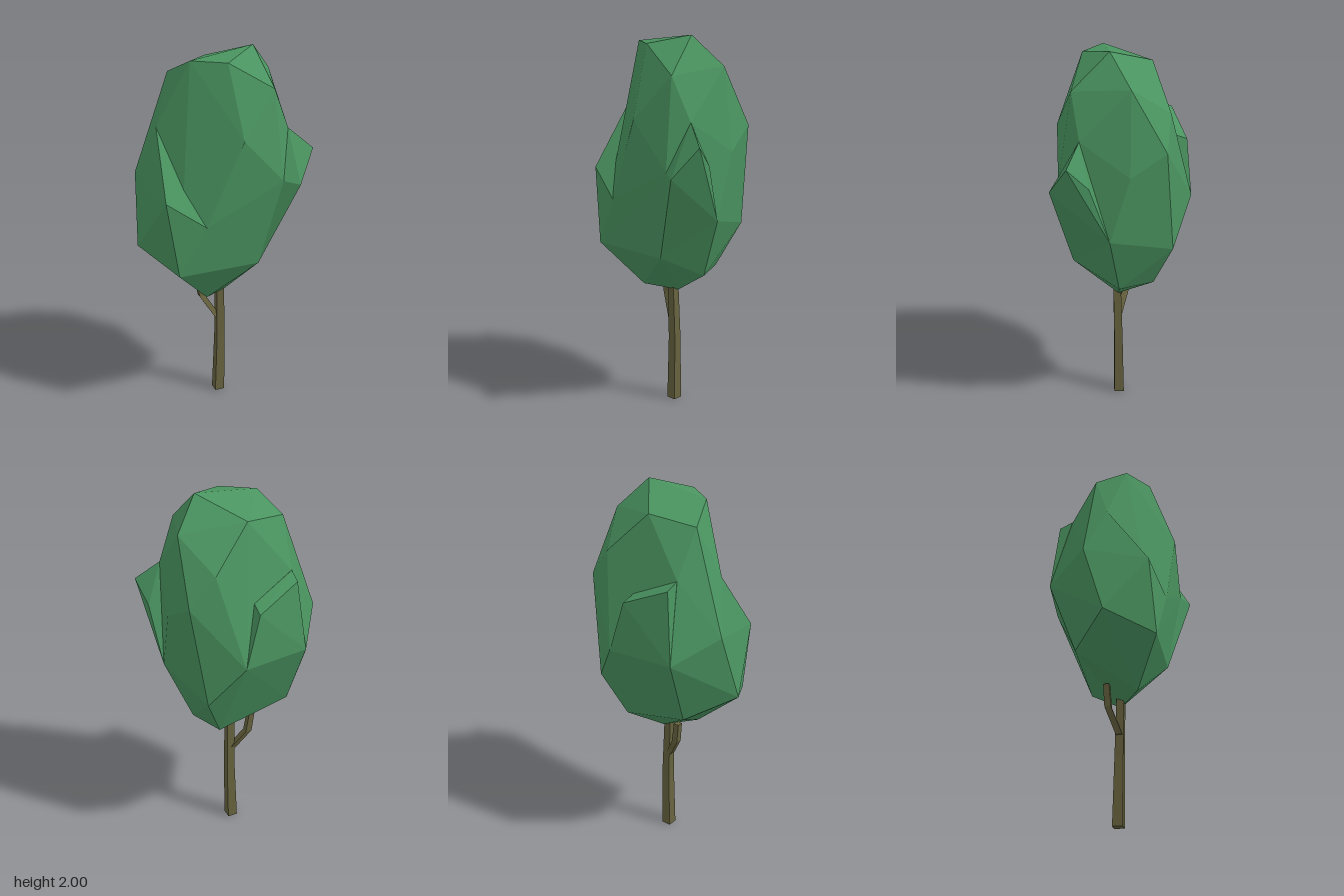
import * as THREE from 'three';
import { ConvexGeometry } from 'three/addons/geometries/ConvexGeometry.js';

const leafMaterial = new THREE.MeshStandardMaterial({ color: 0x4a9460, flatShading: true });
const barkMaterial = new THREE.MeshStandardMaterial({ color: 0x67633f, flatShading: true });

// Faceted mass of leaves wrapped around a few corner points
function leafMass(name, corners) {
  const points = corners.map(c => new THREE.Vector3(...c));
  const mesh = new THREE.Mesh(new ConvexGeometry(points), leafMaterial);
  mesh.name = name;
  return mesh;
}

// Four-sided limb through square rings of [x, y, z, radius], turned about the vertical
function limb(name, turn, rings) {
  const positions = [], index = [];
  for (const [x, y, z, radius] of rings) {
    for (let i = 0; i < 4; i++) {
      const angle = turn + Math.PI * (0.75 - i * 0.5);
      positions.push(x + radius * Math.cos(angle), y, z + radius * Math.sin(angle));
    }
  }
  for (let r = 0; r < rings.length - 1; r++) {
    for (let i = 0; i < 4; i++) {
      const a = r * 4 + i, b = r * 4 + (i + 1) % 4;
      index.push(a, b, b + 4, a, b + 4, a + 4);
    }
  }
  const top = (rings.length - 1) * 4;
  index.push(0, 2, 1, 0, 3, 2, top, top + 1, top + 2, top, top + 2, top + 3);
  const indexed = new THREE.BufferGeometry();
  indexed.setAttribute('position', new THREE.Float32BufferAttribute(positions, 3));
  indexed.setIndex(index);
  const geometry = indexed.toNonIndexed();
  geometry.computeVertexNormals();
  const mesh = new THREE.Mesh(geometry, barkMaterial);
  mesh.name = name;
  return mesh;
}

export function createModel() {
  const tree = new THREE.Group();
  tree.name = 'tree';

  // Slightly bent trunk and the side branch, both ending just inside the leaves
  tree.add(limb('trunk', 0.26, [
    [0.039, 0, -0.024, 0.038],
    [0.044, 0.36, -0.018, 0.032],
    [0.036, 0.7, -0.012, 0.028],
  ]));
  tree.add(limb('branch', 0.26, [
    [0.03, 0.475, -0.02, 0.024],
    [-0.033, 0.6, -0.082, 0.024],
    [-0.047, 0.72, -0.092, 0.022],
  ]));

  // Main crown
  tree.add(leafMass('crown', [
    // cap
    [0.18, 2, 0.07], [-0.155, 1.955, 0.005], [-0.03, 1.955, 0.147],
    [0.065, 1.91, -0.185], [-0.175, 1.87, -0.165], [0.33, 1.85, 0.01], [0.17, 1.82, 0.26],
    // shoulders
    [0.28, 1.7, -0.21], [-0.285, 1.615, -0.11], [-0.128, 1.635, -0.288],
    [-0.03, 1.595, 0.283], [0.27, 1.6, 0.25], [0.396, 1.54, -0.153],
    // waist
    [0.39, 1.43, 0.03], [0.18, 1.36, 0.335], [-0.34, 1.35, -0.235], [-0.14, 1.23, -0.4],
    [0.21, 1.23, -0.355], [-0.2, 1.155, 0.208], [0.36, 1.09, 0.125],
    // underside
    [0.34, 1, -0.215], [-0.4, 0.985, -0.135], [-0.325, 0.89, 0.14], [0.1, 0.89, 0.245],
    [-0.15, 0.86, -0.26], [0.245, 0.76, 0.04], [0.22, 0.76, -0.155], [-0.01, 0.75, 0.125],
    [-0.1, 0.67, 0.062], [0.07, 0.64, -0.01], [-0.02, 0.66, 0.03],
  ]));

  // Lobe at the front left
  tree.add(leafMass('frontLobe', [
    [0.27, 1.6, 0.25], [0.363, 1.5, 0.34], [0.24, 1.345, 0.397], [0.363, 1.39, 0.23],
    [0.18, 1.36, 0.335], [0.36, 1.09, 0.125], [0.1, 0.89, 0.245],
  ]));

  // Lobe on the right side
  tree.add(leafMass('sideLobe', [
    [-0.285, 1.615, -0.11], [-0.372, 1.29, 0.1], [-0.2, 1.155, 0.208],
    [-0.4, 0.985, -0.135], [-0.325, 0.89, 0.14], [-0.34, 1.35, -0.235],
  ]));

  // Sloping ledge at the back
  tree.add(leafMass('backLobe', [
    [-0.128, 1.635, -0.29], [0.106, 1.53, -0.285], [0.128, 1.505, -0.355], [-0.108, 1.605, -0.355],
    [-0.14, 1.23, -0.4], [0.21, 1.23, -0.355], [0, 1.5, -0.15],
  ]));

  return tree;
}
